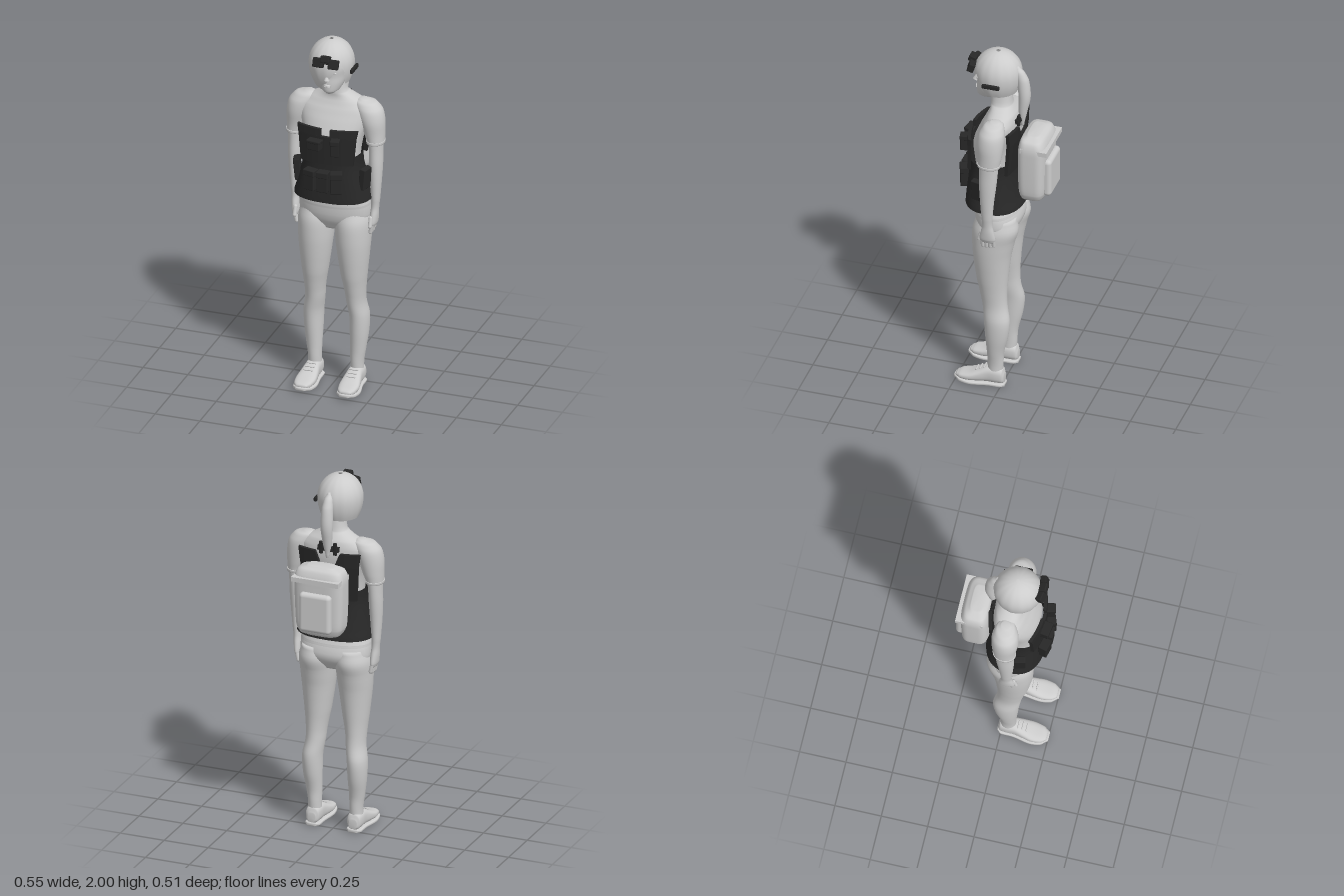
import * as THREE from 'three';
import { RoundedBoxGeometry } from 'three/addons/geometries/RoundedBoxGeometry.js';

const { lerp } = THREE.MathUtils;

// Closed rings of points, bottom to top, joined into one smooth skin
function skin(rings, capped = true) {
  const n = rings[0].length, pos = [], idx = [];
  rings.forEach(r => r.forEach(p => pos.push(...p)));
  for (let i = 0; i < rings.length - 1; i++) for (let j = 0; j < n; j++) {
    const a = i * n + j, b = i * n + (j + 1) % n;
    idx.push(a, b, a + n, b, b + n, a + n);
  }
  if (capped) [0, rings.length - 1].forEach((row, end) => {
    const c = pos.length / 3;
    pos.push(...[0, 1, 2].map(k => rings[row].reduce((s, p) => s + p[k], 0) / n));
    for (let j = 0; j < n; j++) {
      const a = row * n + j, b = row * n + (j + 1) % n;
      idx.push(...(end ? [a, b, c] : [b, a, c]));
    }
  });
  const g = new THREE.BufferGeometry();
  g.setAttribute('position', new THREE.Float32BufferAttribute(pos, 3));
  g.setIndex(idx);
  g.computeVertexNormals();
  return g;
}

// Sections [y, centreX, halfWidth, frontZ, backZ], smoothed by a spline; power 2 = ellipse, more = boxier
function loft(sections, { power = 2, capped = true, side = 1, steps = 4, segs = 32 } = {}) {
  const s = [...sections].sort((a, b) => a[0] - b[0]), rows = [];
  for (let i = 0; i < s.length - 1; i++) {
    const p = [s[Math.max(i - 1, 0)], s[i], s[i + 1], s[Math.min(i + 2, s.length - 1)]];
    for (let k = 0; k < steps + (i === s.length - 2 ? 1 : 0); k++) {
      const t = k / steps;
      rows.push(p[1].map((b, c) => {
        if (c === 0) return lerp(b, p[2][0], t);
        const a = p[0][c], d = p[2][c], e = p[3][c];
        return b + 0.5 * t * (d - a + t * (2 * a - 5 * b + 4 * d - e + t * (3 * (b - d) + e - a)));
      }));
    }
  }
  const pw = v => Math.sign(v) * Math.abs(v) ** (2 / power);
  return skin(rows.map(([y, cx, rx, zf, zb]) => Array.from({ length: segs }, (_, j) => {
    const a = j / segs * Math.PI * 2;
    return [cx * side + rx * pw(Math.sin(a)), y, (zf + zb) / 2 + (zf - zb) / 2 * pw(Math.cos(a))];
  })), capped);
}

// Curved slab: half-open span x0..x1 at the bottom, x2..x3 at the top, bent around the body
function panel(y0, y1, [x0, x1, x2, x3], z0, z1, bend, thick = 0.018) {
  const g = new THREE.BoxGeometry(1, 1, 1, 16, 6, 1), p = g.attributes.position;
  for (let i = 0; i < p.count; i++) {
    const u = p.getX(i) + 0.5, v = p.getY(i) + 0.5;
    const x = lerp(lerp(x0, x1, u), lerp(x2, x3, u), v);
    p.setXYZ(i, x, lerp(y0, y1, v), lerp(z0, z1, v) - bend * x * x + p.getZ(i) * thick);
  }
  g.computeVertexNormals();
  return g;
}

// Piecewise linear lookup
function lookup(table, x) {
  let i = 0;
  while (i < table.length - 2 && x > table[i + 1][0]) i++;
  const [a, b] = [table[i], table[i + 1]];
  return lerp(a[1], b[1], (x - a[0]) / (b[0] - a[0]));
}

export function createModel() {
  const model = new THREE.Group();
  const grey = new THREE.MeshStandardMaterial({ color: 0xcccccc, side: THREE.DoubleSide });
  grey.name = 'light grey';
  const black = new THREE.MeshStandardMaterial({ color: 0x272727, side: THREE.DoubleSide });
  black.name = 'black';
  const add = (name, geo, mat, x = 0, y = 0, z = 0, rx = 0, ry = 0, rz = 0) => {
    const m = new THREE.Mesh(geo, mat);
    m.name = name;
    m.position.set(x, y, z);
    m.rotation.set(rx, ry, rz);
    model.add(m);
    return m;
  };
  const box = (w, h, d, r = 0.005) => new RoundedBoxGeometry(w, h, d, 2, r);

  // Torso with neck
  add('torso', loft([
    [0.92, 0, 0.09, 0.12, -0.03], [0.97, 0, 0.18, 0.15, -0.07], [1.02, 0, 0.195, 0.165, -0.08],
    [1.1, 0, 0.185, 0.17, -0.055], [1.2, 0, 0.15, 0.165, -0.03], [1.3, 0, 0.142, 0.165, -0.03],
    [1.4, 0, 0.15, 0.178, -0.04], [1.47, 0, 0.165, 0.18, -0.05], [1.55, 0, 0.19, 0.15, -0.06],
    [1.61, 0, 0.195, 0.12, -0.058], [1.65, 0, 0.15, 0.1, -0.05], [1.675, 0, 0.1, 0.093, -0.036],
    [1.7, 0, 0.062, 0.095, -0.022], [1.78, 0, 0.05, 0.095, -0.015]], { power: 2.2 }), grey);
  add('waistband', loft([[1.06, 0, 0.197, 0.174, -0.076], [1.075, 0, 0.197, 0.176, -0.073]], { power: 2.2, capped: false }), grey);

  for (const s of [1, -1]) {
    const side = s > 0 ? 'left' : 'right';
    // Legs
    add(side + 'Leg', loft([
      [0.07, 0.118, 0.036, 0.075, -0.005], [0.13, 0.118, 0.036, 0.078, -0.008], [0.2, 0.122, 0.042, 0.08, -0.012],
      [0.3, 0.127, 0.05, 0.088, -0.035], [0.4, 0.127, 0.053, 0.095, -0.045], [0.48, 0.115, 0.052, 0.105, -0.03],
      [0.55, 0.112, 0.056, 0.118, -0.025], [0.65, 0.108, 0.07, 0.14, -0.03], [0.8, 0.105, 0.088, 0.16, -0.045],
      [0.9, 0.103, 0.096, 0.166, -0.066], [0.97, 0.102, 0.097, 0.162, -0.085], [1.04, 0.1, 0.08, 0.14, -0.07]], { side: s }), grey);
    // Shoes, lofted heel to toe
    const shoe = loft([
      [-0.016, 0.118, 0.022, -0.02, -0.07], [-0.005, 0.118, 0.036, -0.014, -0.1], [0.03, 0.118, 0.042, -0.014, -0.108],
      [0.075, 0.118, 0.043, -0.014, -0.105], [0.12, 0.119, 0.05, -0.014, -0.085], [0.17, 0.121, 0.055, -0.014, -0.064],
      [0.22, 0.122, 0.046, -0.016, -0.052], [0.245, 0.122, 0.028, -0.022, -0.042]], { power: 2.6, side: s });
    add(side + 'Shoe', shoe.rotateX(Math.PI / 2), grey);
    const sole = loft([
      [-0.02, 0.118, 0.025, 0, -0.018], [0, 0.118, 0.042, 0, -0.018], [0.07, 0.118, 0.045, 0, -0.018],
      [0.16, 0.121, 0.06, 0, -0.02], [0.22, 0.122, 0.052, -0.004, -0.026], [0.255, 0.122, 0.026, -0.012, -0.03]], { power: 4, side: s });
    add(side + 'Sole', sole.rotateX(Math.PI / 2), grey);
    for (let i = 0; i < 3; i++) add(side + 'Lace', box(0.05, 0.006, 0.008, 0.002), grey, s * 0.119, 0.102 - i * 0.011, 0.092 + i * 0.022, 0.4);

    // Sleeve, arm and hand
    add(side + 'Sleeve', loft([
      [1.665, 0.15, 0.02, 0.05, 0.005], [1.65, 0.165, 0.06, 0.08, -0.02], [1.61, 0.187, 0.072, 0.102, -0.035],
      [1.55, 0.203, 0.068, 0.108, -0.035], [1.48, 0.215, 0.056, 0.1, -0.028], [1.43, 0.223, 0.047, 0.097, -0.02]], { side: s }), grey);
    add(side + 'SleeveHem', loft([[1.425, 0.223, 0.049, 0.1, -0.023], [1.44, 0.223, 0.05, 0.1, -0.024]], { side: s }), grey);
    add(side + 'Arm', loft([
      [1.45, 0.223, 0.04, 0.092, -0.015], [1.38, 0.225, 0.037, 0.09, -0.01], [1.3, 0.226, 0.036, 0.09, -0.002],
      [1.2, 0.226, 0.031, 0.085, 0.01], [1.1, 0.225, 0.024, 0.078, 0.018], [1.05, 0.222, 0.021, 0.075, 0.02],
      [1.01, 0.219, 0.022, 0.084, 0.012], [0.965, 0.216, 0.02, 0.092, 0.005], [0.945, 0.214, 0.014, 0.085, 0.01]], { side: s }), grey);
    for (let i = 0; i < 4; i++) add(side + 'Finger', new THREE.CapsuleGeometry(0.0105, 0.04, 4, 10), grey,
      s * 0.21, 0.932 + (i === 0 ? 0.007 : 0), 0.017 + i * 0.02, 0, 0, -s * 0.2);
    add(side + 'Thumb', new THREE.CapsuleGeometry(0.011, 0.045, 4, 10), grey, s * 0.21, 0.975, 0.09, -0.3, 0, 0);
    add(side + 'Eye', new THREE.SphereGeometry(0.011, 12, 8).scale(1.3, 0.6, 0.6), grey, s * 0.034, 1.845, 0.162);
    add(side + 'HipPouch', box(0.035, 0.12, 0.07), black, s * 0.188, 1.24, 0.108, 0, -s * 0.25, -s * 0.1);
  }

  // Head and face
  add('head', loft([
    [1.722, 0, 0.025, 0.16, 0.09], [1.738, 0, 0.048, 0.172, 0.05], [1.78, 0, 0.07, 0.174, 0],
    [1.82, 0, 0.082, 0.171, -0.03], [1.87, 0, 0.09, 0.174, -0.045], [1.94, 0, 0.08, 0.155, -0.03], [1.98, 0, 0.03, 0.09, 0.03]]), grey);
  add('nose', new THREE.ConeGeometry(0.017, 0.05, 12).scale(0.9, 1, 1.2), grey, 0, 1.832, 0.173, -0.2);
  for (const y of [1.776, 1.768]) add('lip', new THREE.SphereGeometry(0.02, 12, 8).scale(1, 0.25, 0.5), grey, 0, y, 0.171);

  // Hair shell: its lower edge sweeps across the face on one side
  const edge = [[-180, 1.77], [-100, 1.765], [-60, 1.745], [-15, 1.735], [0, 1.775], [38, 1.88],
    [52, 1.875], [64, 1.77], [100, 1.765], [180, 1.77]];
  const hairRings = [];
  for (let i = 0; i <= 20; i++) hairRings.push(Array.from({ length: 72 }, (_, j) => {
    const deg = j * 5 - 180, a = deg * Math.PI / 180;
    const low = lookup(edge, deg), y = lerp(low, 1.9995, Math.sin(i / 20 * Math.PI / 2));
    const d = (y - 1.87) / 0.13;
    const r = d > 0 ? Math.sqrt(Math.max(0, 1 - d * d)) : 1 - 0.3 * Math.abs(d) ** 2;
    const ridge = 1 + 0.006 * Math.sin(a * 14);
    return [-0.015 + 0.12 * r * Math.sin(a) * ridge, y, 0.062 + 0.128 * r * Math.cos(a) * ridge];
  }));
  add('hair', skin(hairRings, false), grey);
  add('ponytail', loft([
    [1.57, 0, 0.008, -0.068, -0.084], [1.65, 0, 0.024, -0.055, -0.1], [1.75, 0, 0.033, -0.055, -0.119],
    [1.85, 0, 0.03, -0.045, -0.11], [1.9, 0, 0.022, -0.035, -0.085], [1.93, 0, 0.01, -0.02, -0.055]]), grey);

  // Goggles pushed up on the forehead, and earpiece
  for (const s of [1, -1]) add('goggleLens', box(0.056, 0.05, 0.035), black, s * 0.042, 1.912, 0.192, -0.35, s * 0.2, 0);
  add('goggleBridge', box(0.05, 0.035, 0.04), black, 0, 1.94, 0.197, -0.35);
  add('goggleBar', box(0.11, 0.02, 0.02), black, 0, 1.918, 0.192, -0.35);
  add('earpiece', box(0.016, 0.024, 0.095), black, 0.112, 1.845, 0.065);

  // Vest: flared lower shell, front bib with a notch, back plate
  add('vestShell', loft([
    [1.11, 0, 0.212, 0.216, -0.1], [1.16, 0, 0.197, 0.213, -0.082], [1.22, 0, 0.18, 0.208, -0.064],
    [1.3, 0, 0.16, 0.202, -0.05], [1.37, 0, 0.156, 0.2, -0.05]], { power: 2.5, capped: false, segs: 48 }), black);
  add('vestFront', panel(1.33, 1.49, [-0.145, 0.145, -0.16, 0.16], 0.198, 0.2, 1.3), black);
  for (const s of [1, -1]) add('vestFrontTop', panel(1.485, 1.53,
    s > 0 ? [0.025, 0.16, 0.025, 0.168] : [-0.16, -0.025, -0.168, -0.025], 0.2, 0.197, 1.3), black);
  add('vestBack', panel(1.33, 1.53, [-0.15, 0.15, -0.165, 0.165], -0.054, -0.076, -1), black);
  for (const s of [1, -1]) add('vestBackTop', panel(1.525, 1.6,
    s > 0 ? [0.04, 0.165, 0.07, 0.175] : [-0.165, -0.04, -0.175, -0.07], -0.076, -0.078, -1), black);
  add('collarStrap', panel(1.605, 1.63, [-0.06, 0.06, -0.06, 0.06], -0.068, -0.064, -1), black);
  for (const s of [1, -1]) add('collarTab', box(0.022, 0.07, 0.014), black, s * 0.04, 1.62, -0.068);

  // Front pouches: [x, y, width, height, turn]
  for (const [x, y, w, h, turn] of [
    [-0.075, 1.242, 0.065, 0.115, -0.25], [-0.003, 1.242, 0.062, 0.115, 0], [0.068, 1.242, 0.062, 0.115, 0.35],
    [-0.052, 1.448, 0.075, 0.055, -0.15], [0.062, 1.445, 0.046, 0.09, 0.2]]) {
    const z = 0.228 - Math.abs(x) * 0.08;
    add('pouch', box(w, h, 0.045), black, x, y, z, 0, turn);
    add('pouchFlap', box(w + 0.004, h * 0.3, 0.05), black, x, y + h * 0.36, z, 0, turn);
  }

  // Backpack
  add('backpack', loft([
    [1.165, 0, 0.08, -0.115, -0.19], [1.18, 0, 0.112, -0.09, -0.213], [1.22, 0, 0.13, -0.08, -0.226],
    [1.32, 0, 0.136, -0.076, -0.23], [1.45, 0, 0.139, -0.076, -0.233], [1.5, 0, 0.137, -0.08, -0.232],
    [1.54, 0, 0.12, -0.092, -0.215], [1.56, 0, 0.07, -0.12, -0.185]], { power: 4, segs: 48 }), grey);
  add('backpackPocket', new RoundedBoxGeometry(0.18, 0.22, 0.05, 4, 0.022), grey, 0, 1.315, -0.234);
  add('backpackLidRim', new THREE.BoxGeometry(0.268, 0.026, 0.147), grey, 0, 1.492, -0.176);
  return model;
}
